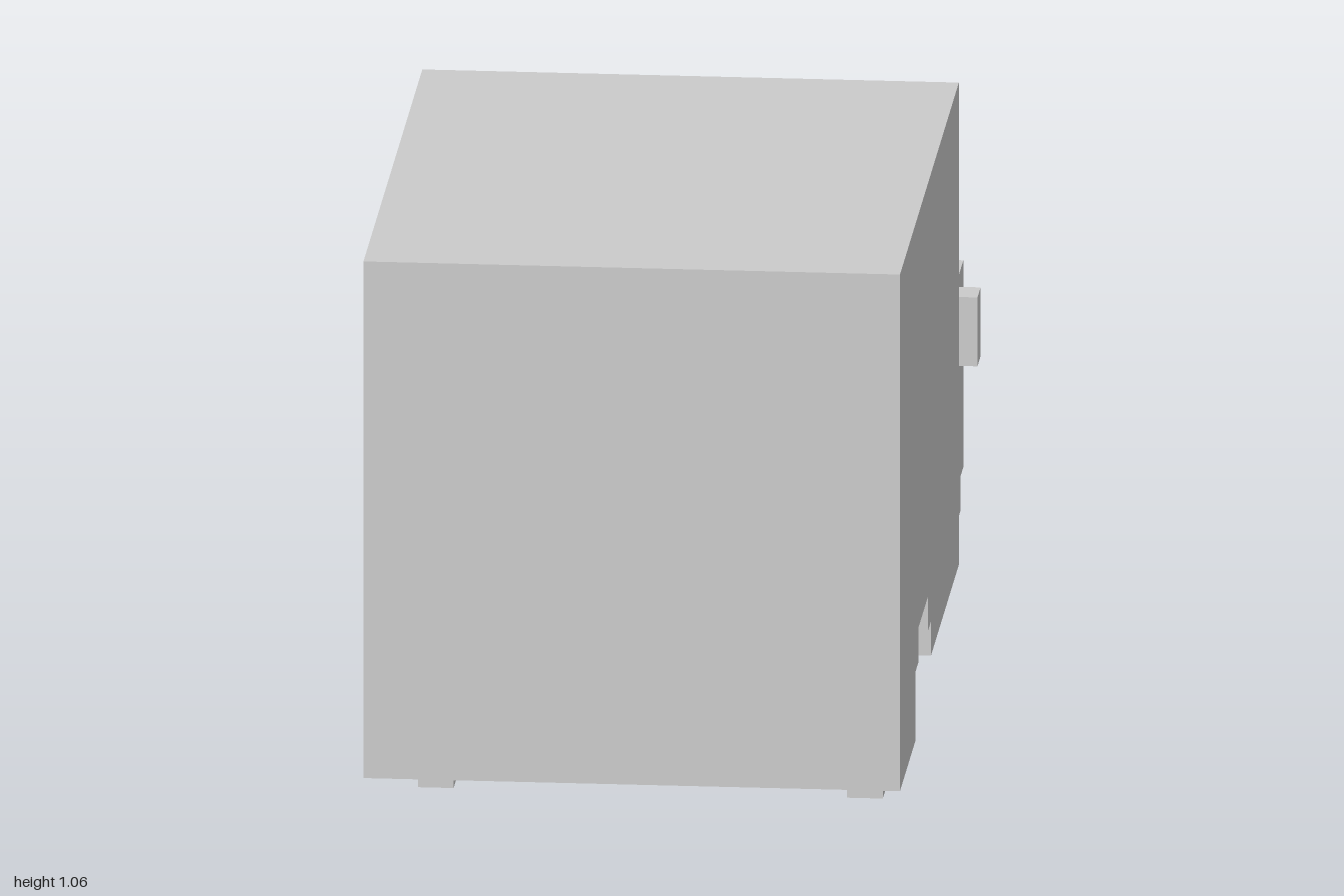
import * as THREE from 'three';

// All sizes are in blocks; 16 blocks = 1 unit
const U = 1 / 16;
const material = new THREE.MeshStandardMaterial({ color: 0xcccccc, flatShading: true });

// Extrudes a side outline of [z, y] points between x0 and x1
function sideExtrude(name, points, x0, x1) {
  const shape = new THREE.Shape(points.map(([z, y]) => new THREE.Vector2(z * U, y * U)));
  const geo = new THREE.ExtrudeGeometry(shape, { depth: (x1 - x0) * U, bevelEnabled: false });
  geo.rotateY(-Math.PI / 2).translate(x1 * U, 0, 0);
  const mesh = new THREE.Mesh(geo, material);
  mesh.name = name;
  return mesh;
}

// Box given by its minimum and maximum corners
function block(name, [x0, y0, z0], [x1, y1, z1]) {
  const geo = new THREE.BoxGeometry((x1 - x0) * U, (y1 - y0) * U, (z1 - z0) * U);
  const mesh = new THREE.Mesh(geo, material);
  mesh.name = name;
  mesh.position.set((x0 + x1) * U / 2, (y0 + y1) * U / 2, (z0 + z1) * U / 2);
  return mesh;
}

export function createModel() {
  const truck = new THREE.Group();
  truck.name = 'boxTruck';

  // Hood, cab and cargo core share one stepped outline
  truck.add(sideExtrude('body', [
    [-16, 2], [16, 2], [16, 17], [-3, 17], [-3, 12], [-11, 12], [-11, 8], [-16, 8],
  ], -6.5, 6.5));

  // Outer cargo wall with a stepped wheel arch and a raised sill
  const wall = [
    [-3, 3], [6, 3], [6, 4], [7, 4], [7, 5], [10, 5], [10, 4], [11, 4],
    [11, 2], [16, 2], [16, 17], [-3, 17],
  ];

  for (const side of [1, -1]) {
    const label = side > 0 ? 'left' : 'right';
    const span = (a, b) => (side > 0 ? [a, b] : [-b, -a]);

    const [w0, w1] = span(6.5, 7.5);
    truck.add(sideExtrude(label + 'CargoWall', wall, w0, w1));
    truck.add(block(label + 'Mirror', [w0, 7, -10], [w1, 9, -9]));

    // Stepped wheels, flush with the body side and showing below it
    const [t0, t1] = span(5.5, 6.5);
    for (const [end, z] of [['Cab', -12.5], ['Cargo', 8.5]]) {
      truck.add(sideExtrude(label + end + 'Wheel', [
        [z - 2.5, 2], [z - 2.5, 1], [z - 1.5, 1], [z - 1.5, 0],
        [z + 1.5, 0], [z + 1.5, 1], [z + 2.5, 1], [z + 2.5, 2],
      ], t0, t1));
    }
  }
  return truck;
}
